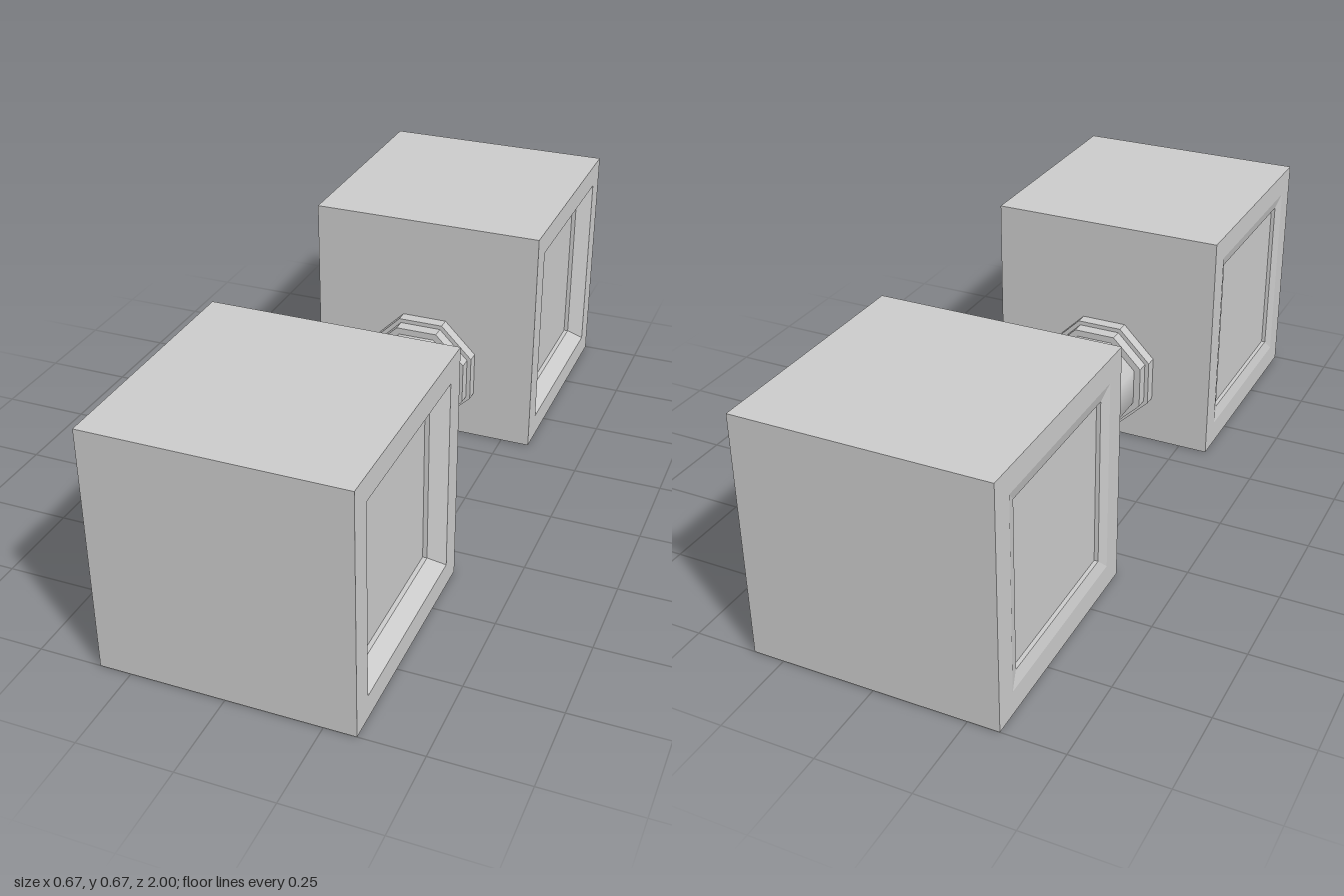
import * as THREE from 'three';

const material = new THREE.MeshStandardMaterial({ color: 0xcccccc });
const flatMaterial = new THREE.MeshStandardMaterial({ color: 0xcccccc, flatShading: true });

const HALF = 1 / 3; // half the edge of a weight block
const GRIP_Y = 0.207;

// Lofts square rings [x, half size] along x into a faceted solid.
function squareLoft(rings) {
  const corner = ([x, h], j) => {
    const a = Math.PI / 4 + (j * Math.PI) / 2;
    return [x, Math.SQRT2 * h * Math.cos(a), Math.SQRT2 * h * Math.sin(a)];
  };
  const pos = [];
  for (let i = 0; i < rings.length - 1; i++) {
    for (let j = 0; j < 4; j++) {
      const a = corner(rings[i], j), b = corner(rings[i], j + 1);
      const c = corner(rings[i + 1], j + 1), d = corner(rings[i + 1], j);
      if (rings[i][1] > 0) pos.push(...a, ...b, ...c);
      if (rings[i + 1][1] > 0) pos.push(...a, ...c, ...d);
    }
  }
  const geometry = new THREE.BufferGeometry();
  geometry.setAttribute('position', new THREE.Float32BufferAttribute(pos, 3));
  geometry.computeVertexNormals();
  return geometry;
}

// Octagonal prism along z, with flat sides facing x and y.
function octagon(flatRadius, length, open = false) {
  const r = flatRadius / Math.cos(Math.PI / 8);
  return new THREE.CylinderGeometry(r, r, length, 8, 1, open, Math.PI / 8).rotateX(Math.PI / 2);
}

export function createModel() {
  const model = new THREE.Group();
  model.name = 'dumbbell';

  const add = (name, geometry, mat, y, z) => {
    const mesh = new THREE.Mesh(geometry, mat);
    mesh.name = name;
    mesh.position.set(0, y, z);
    model.add(mesh);
  };

  // Block with a bevelled recess and sunken panel on each x side;
  // the recess is shallow at -x and deeper at +x
  const block = squareLoft([
    [-HALF + 0.02, 0],
    [-HALF + 0.02, 0.232],
    [-HALF + 0.009, 0.232],
    [-HALF, 0.267],
    [-HALF, HALF],
    [HALF, HALF],
    [HALF, 0.267],
    [HALF - 0.04, 0.232],
    [HALF - 0.052, 0.232],
    [HALF - 0.052, 0],
  ]);

  // Weights and stepped collars at both ends
  for (const [side, s] of [['front', 1], ['back', -1]]) {
    add(side + 'Weight', block, material, HALF, s * 2 / 3);
    add(side + 'OuterCollar', octagon(0.158, 0.034), flatMaterial, GRIP_Y, s * 0.3165);
    add(side + 'InnerCollar', octagon(0.146, 0.036), flatMaterial, GRIP_Y, s * 0.282);
  }

  // Smooth-shaded grip
  add('grip', octagon(0.127, 0.56, true), material, GRIP_Y, 0);

  return model;
}
